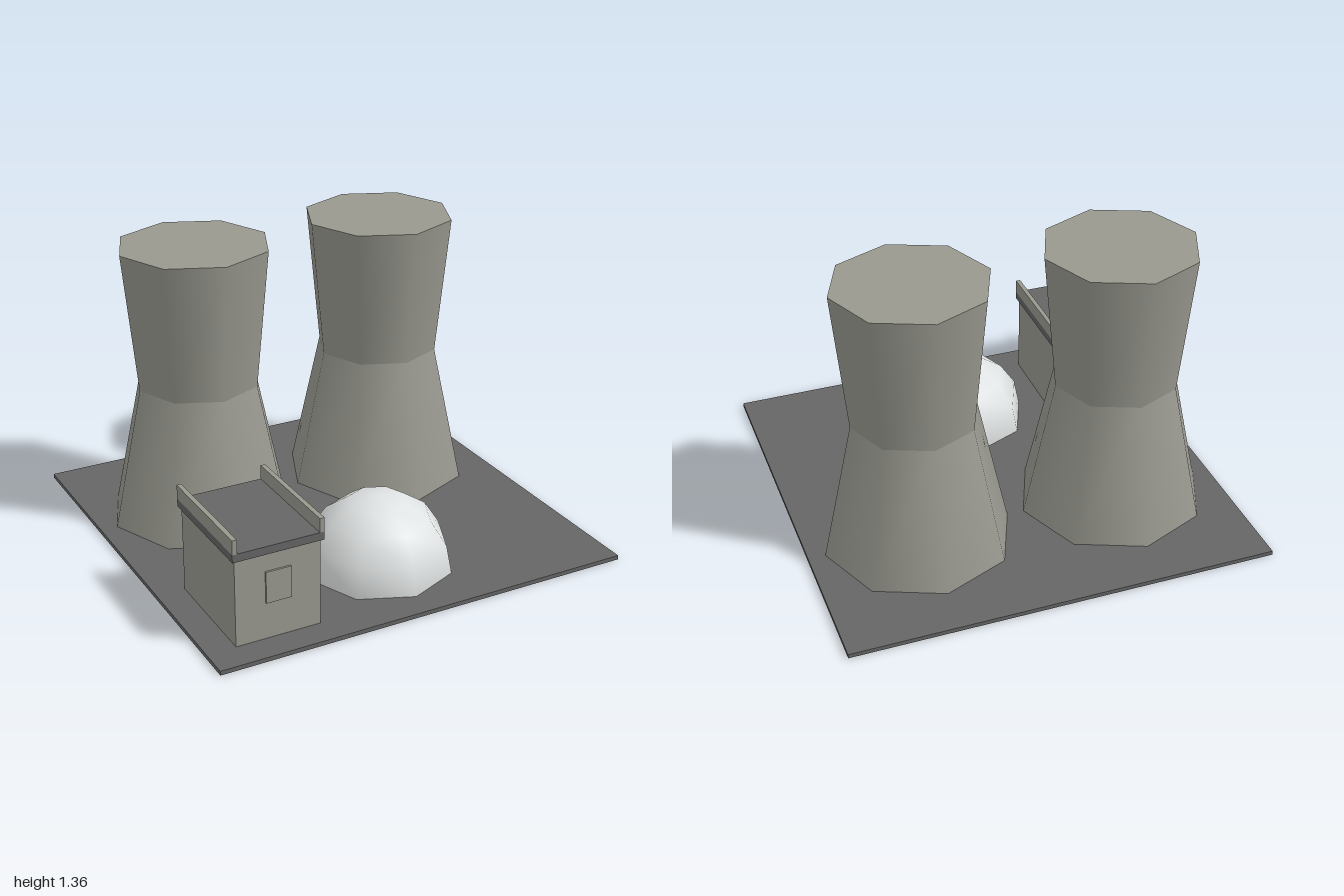
import * as THREE from 'three';

export function createModel() {
  const model = new THREE.Group();
  const material = (name, color) => {
    const m = new THREE.MeshStandardMaterial({ color });
    m.name = name;
    return m;
  };
  const concrete = material('concrete', 0x98988f);
  const asphalt = material('darkGrey', 0x656565);
  const white = material('domeWhite', 0xdfe2e2);

  const add = (parent, name, geometry, mat, x, y, z) => {
    const mesh = new THREE.Mesh(geometry, mat);
    mesh.name = name;
    mesh.position.set(x, y, z);
    parent.add(mesh);
    return mesh;
  };
  // Box given by its minimum and maximum corners
  const box = (parent, name, mat, [x0, y0, z0], [x1, y1, z1]) =>
    add(parent, name, new THREE.BoxGeometry(x1 - x0, y1 - y0, z1 - z0), mat,
      (x0 + x1) / 2, (y0 + y1) / 2, (z0 + z1) / 2);

  // Ground slab
  box(model, 'groundSlab', asphalt, [-1, 0, -1], [1, 0.02, 1]);

  // Pair of eight-sided cooling towers: tapering base, flaring top
  const bottom = 0.02, waist = 0.69, top = 1.355;
  for (const side of [-1, 1]) {
    const tower = new THREE.Group();
    tower.name = side < 0 ? 'rightCoolingTower' : 'leftCoolingTower';
    tower.position.set(side * 0.48, 0, -0.335);
    add(tower, 'towerBase', new THREE.CylinderGeometry(0.293, 0.44, waist - bottom, 8),
      concrete, 0, (bottom + waist) / 2, 0);
    add(tower, 'towerTop', new THREE.CylinderGeometry(0.358, 0.293, top - waist, 8),
      concrete, 0, (waist + top) / 2, 0);
    model.add(tower);
  }

  // Reactor dome
  add(model, 'reactorDome',
    new THREE.SphereGeometry(0.345, 8, 4, 0, Math.PI * 2, 0, Math.PI / 2),
    white, 0, 0.02, 0.53);

  // Control building with flat roof, side parapets and front window
  const building = new THREE.Group();
  building.name = 'controlBuilding';
  box(building, 'walls', concrete, [-0.867, 0.02, 0.337], [-0.471, 0.427, 0.867]);
  box(building, 'roof', asphalt, [-0.88, 0.427, 0.324], [-0.458, 0.464, 0.88]);
  box(building, 'rightParapet', concrete, [-0.88, 0.464, 0.324], [-0.858, 0.53, 0.88]);
  box(building, 'leftParapet', concrete, [-0.48, 0.464, 0.324], [-0.458, 0.53, 0.88]);
  box(building, 'window', concrete, [-0.728, 0.193, 0.867], [-0.61, 0.341, 0.876]);
  model.add(building);

  return model;
}
